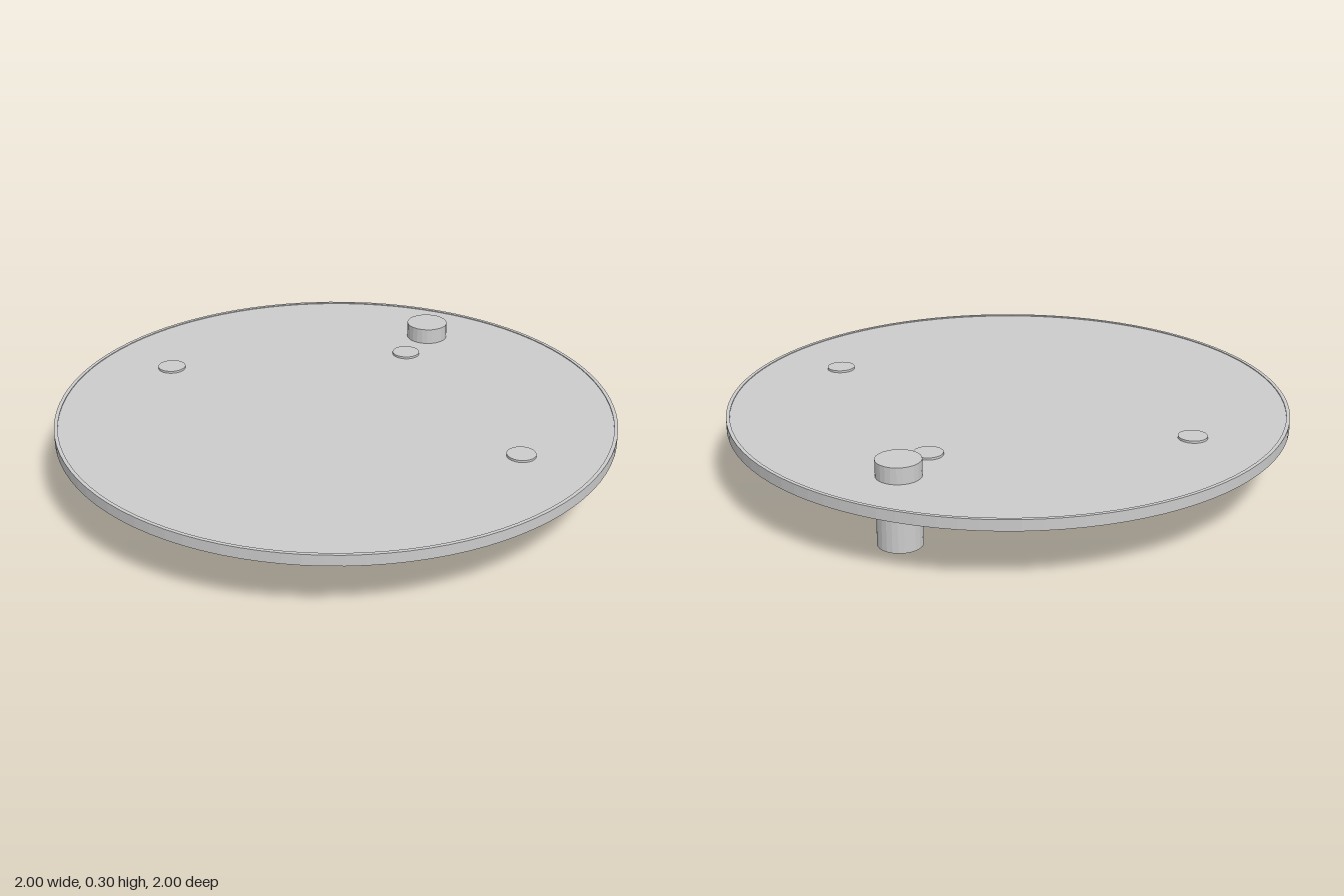
import * as THREE from 'three';

export function createModel() {
  const model = new THREE.Group();
  const material = new THREE.MeshStandardMaterial({ color: 0xcccccc, flatShading: true });

  const add = (name, geometry, x, y, z) => {
    const mesh = new THREE.Mesh(geometry, material);
    mesh.name = name;
    mesh.position.set(x, y, z);
    model.add(mesh);
  };

  // Thin round plate set just below the top of its rim
  add('plate', new THREE.CylinderGeometry(0.99, 0.99, 0.004, 96), 0, 0.24, 0);

  // Shallow rim, open underneath
  const section = [[0.987, 0.206], [1, 0.206], [1, 0.245], [0.987, 0.245], [0.987, 0.206]];
  const profile = section.map(([r, y]) => new THREE.Vector2(r, y));
  add('rim', new THREE.LatheGeometry(profile, 96), 0, 0, 0);

  // Pins passing through the plate: name, radius, bottom, top, x, z
  const pins = [
    ['rightPin', 0.051, 0.05, 0.25, -0.715, 0.03],
    ['leftPin', 0.051, 0.05, 0.25, 0.72, -0.035],
    ['backPin', 0.051, 0.05, 0.25, -0.03, -0.555],
    ['largeBackPin', 0.077, 0, 0.3, -0.045, -0.747],
  ];
  for (const [name, r, bottom, top, x, z] of pins) {
    add(name, new THREE.CylinderGeometry(r, r, top - bottom, 24), x, (top + bottom) / 2, z);
  }
  return model;
}
